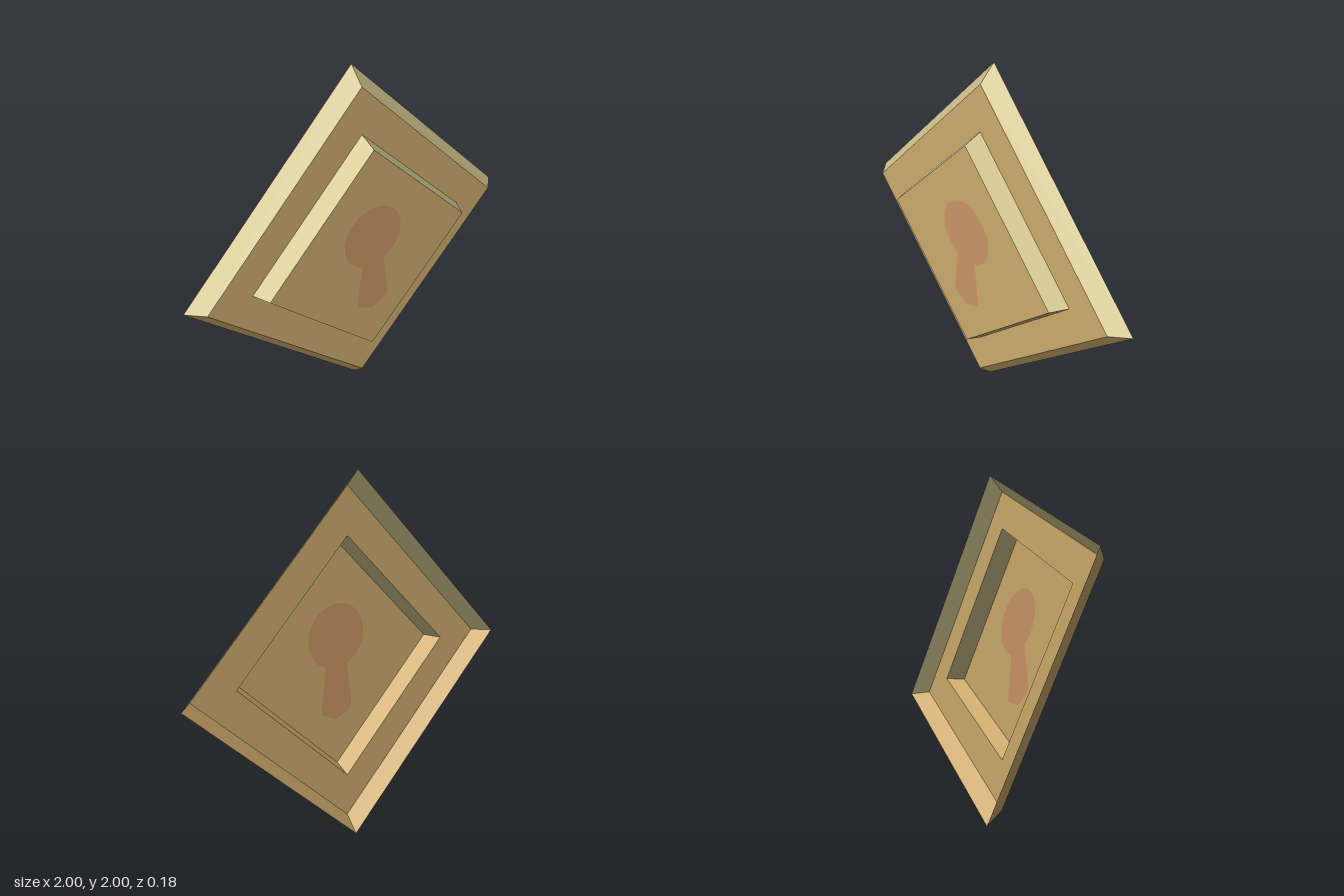
import * as THREE from 'three';

const CY = 1; // height of the centre
const BACK = -0.088, MID = -0.007, FRONT = 0.088;

function material(name, color) {
  const m = new THREE.MeshStandardMaterial({ color, side: THREE.DoubleSide });
  m.name = name;
  return m;
}

// Diamond corners, counter-clockwise from the model's left (+x)
const corners = (r) => [[r, 0], [0, r], [-r, 0], [0, -r]].map(([x, y]) => new THREE.Vector2(x, y + CY));

// Two sloping walls between a back diamond and a front diamond
function walls(rBack, zBack, rFront, zFront, edges) {
  const back = corners(rBack), front = corners(rFront), pos = [];
  for (const i of edges) {
    const j = (i + 1) % 4;
    const a = [back[i].x, back[i].y, zBack], b = [back[j].x, back[j].y, zBack];
    const c = [front[j].x, front[j].y, zFront], d = [front[i].x, front[i].y, zFront];
    pos.push(...a, ...b, ...c, ...a, ...c, ...d);
  }
  const g = new THREE.BufferGeometry();
  g.setAttribute('position', new THREE.Float32BufferAttribute(pos, 3));
  g.computeVertexNormals();
  return g;
}

// Flat face with an optional hole
function face(outline, hole, z) {
  const s = new THREE.Shape(outline);
  if (hole) s.holes.push(new THREE.Path(hole));
  return new THREE.ShapeGeometry(s).translate(0, 0, z);
}

// Round head with a flared stem that ends in a shallow point
function keyholeOutline() {
  const pts = [], r = 0.18, cy = 1.115, start = -Math.PI / 2 + 0.4, sweep = Math.PI * 2 - 0.8;
  for (let i = 0; i <= 32; i++) {
    const t = start + (sweep * i) / 32;
    pts.push(new THREE.Vector2(r * Math.cos(t), cy + r * Math.sin(t)));
  }
  for (const [x, y] of [[-0.1, 0.72], [-0.098, 0.685], [0, 0.635], [0.098, 0.685], [0.1, 0.72]]) {
    pts.push(new THREE.Vector2(x, y));
  }
  return pts;
}

export function createModel() {
  const group = new THREE.Group();
  group.name = 'keyholePlate';
  const gold = material('gold', 0xd0ae6e);
  const paleGold = material('paleGold', 0xd4c890);
  const copper = material('copper', 0xcc9768);
  const add = (name, geometry, mat) => {
    const mesh = new THREE.Mesh(geometry, mat);
    mesh.name = name;
    group.add(mesh);
  };

  // Outer bevel and raised step, both open at the back
  for (const [name, ...size] of [['outerBevel', 1, BACK, 0.915, MID], ['innerStep', 0.667, MID, 0.627, FRONT]]) {
    add(name + 'Upper', walls(...size, [0, 1]), paleGold);
    add(name + 'Lower', walls(...size, [2, 3]), gold);
  }

  // Flat border, raised panel and the keyhole set flush in it
  const keyhole = keyholeOutline();
  add('border', face(corners(0.915), corners(0.667), MID), gold);
  add('panel', face(corners(0.627), keyhole, FRONT), gold);
  add('keyhole', face(keyhole, null, FRONT), copper);
  return group;
}
